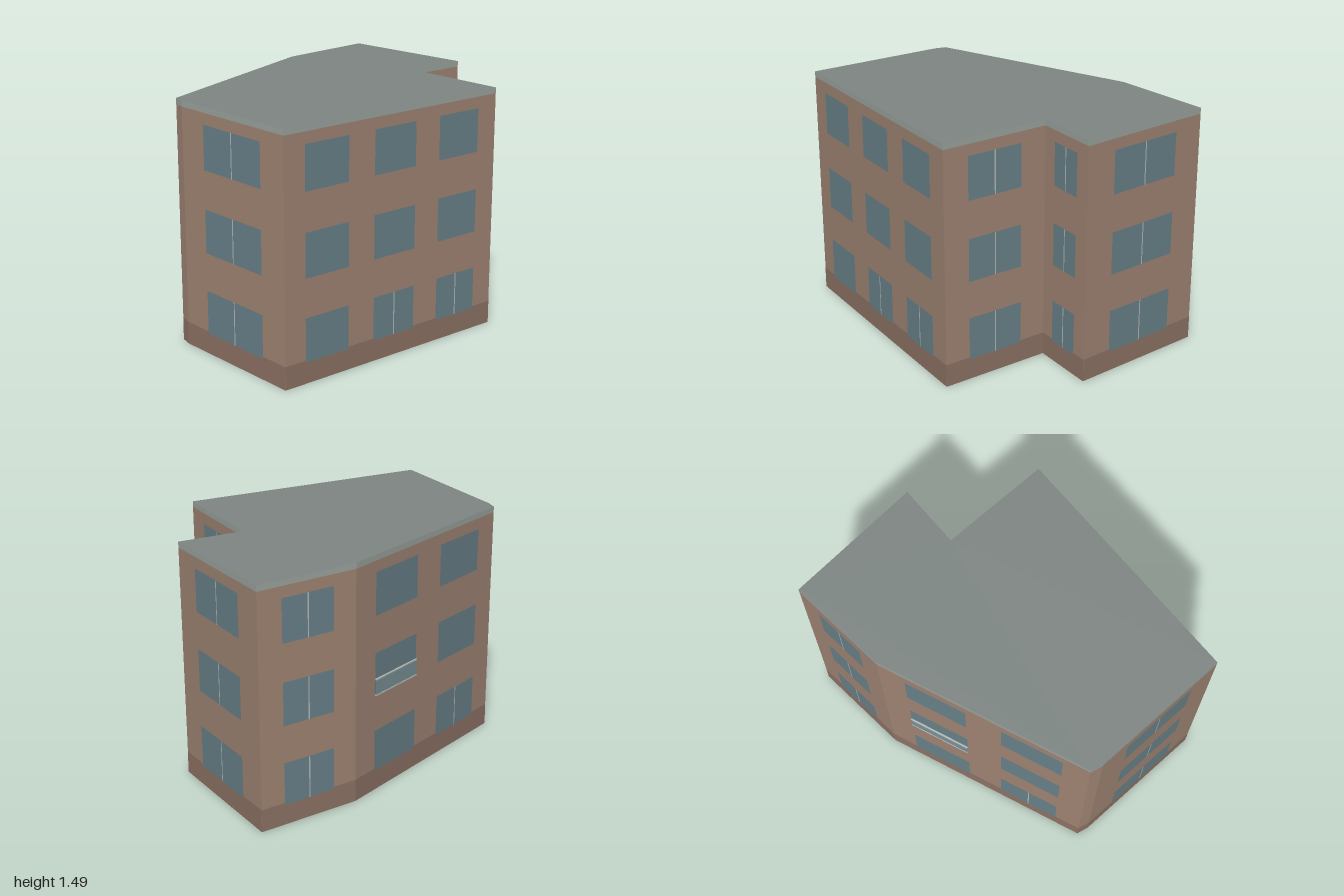
import * as THREE from 'three';

const HEIGHT = 1.485, BAND = 0.035, PLINTH = 0.14;
const SILLS = [0.128, 0.623, 1.118], WINDOW_H = 0.264;

// Footprint corners [x, z], running round the building with the outside on the right
const CORNERS = [
  [-0.885, 0.85], [0.687, 0.725], [0.594, 0.037], [1, 0],
  [0.833, -0.855], [0.205, -0.73], [-0.993, -0.106], [-1, -0.03],
];

// Windows per wall: start and end as a fraction of the wall, floors with a mullion
const ALL = [0, 1, 2];
const WINDOWS = [
  [[0.089, 0.284, []], [0.403, 0.598, [0]], [0.714, 0.909, [0]]],
  [[0.232, 0.756, ALL]],
  [[0.237, 0.763, ALL]],
  [[0.226, 0.774, ALL]],
  [[0.24, 0.765, ALL]],
  [[0.13, 0.42, []], [0.588, 0.878, [0]]],
  [],
  [[0.225, 0.785, ALL]],
];

const material = (color, side = THREE.FrontSide) =>
  new THREE.MeshStandardMaterial({ color, side, flatShading: true });

export function createModel() {
  const model = new THREE.Group();
  model.name = 'building';

  const brick = material(0xa08574, THREE.DoubleSide);
  const base = material(0x8e7365);
  const trim = material(0x9ca49f, THREE.DoubleSide);
  const roofGrey = material(0x7e8683, THREE.DoubleSide);
  const glass = material(0x69828a);
  const frame = material(0xb4bab7);
  const railGlass = material(0x7b9298, THREE.DoubleSide);

  // Upright rectangle on a wall: x0..x1 along it, y0..y1 up, at a small depth outward
  function panel(parent, name, mat, x0, x1, y0, y1, depth) {
    const mesh = new THREE.Mesh(new THREE.PlaneGeometry(x1 - x0, y1 - y0), mat);
    mesh.position.set((x0 + x1) / 2, (y0 + y1) / 2, depth);
    mesh.name = name;
    parent.add(mesh);
  }

  CORNERS.forEach(([x, z], i) => {
    const [nx, nz] = CORNERS[(i + 1) % CORNERS.length];
    const length = Math.hypot(nx - x, nz - z);
    const side = new THREE.Group();
    side.name = `side${i + 1}`;
    side.position.set(x, 0, z);
    side.rotation.y = Math.atan2(z - nz, nx - x);
    model.add(side);

    // Wall, plinth and roof edge
    panel(side, 'wall', brick, 0, length, 0, HEIGHT - BAND, 0);
    panel(side, 'plinth', base, 0, length, 0, PLINTH, 0.001);
    panel(side, 'roofEdge', trim, 0, length, HEIGHT - BAND, HEIGHT, 0);

    // Windows on each floor
    for (const [t0, t1, mullions] of WINDOWS[i]) {
      const x0 = t0 * length, x1 = t1 * length, mid = (x0 + x1) / 2;
      SILLS.forEach((sill, floor) => {
        panel(side, 'window', glass, x0, x1, sill, sill + WINDOW_H, 0.003);
        if (mullions.includes(floor))
          panel(side, 'mullion', frame, mid - 0.004, mid + 0.004, sill, sill + WINDOW_H, 0.004);
      });
    }

    // Shallow glass balcony rail on the long back wall
    if (i === 5) {
      const x0 = 0.13 * length, x1 = 0.42 * length;
      const y0 = SILLS[1], y1 = y0 + 0.1;
      panel(side, 'balconyGlass', railGlass, x0, x1, y0, y1, 0.01);
      for (const y of [y0, y1]) {
        const rail = new THREE.Mesh(new THREE.BoxGeometry(x1 - x0, 0.008, 0.01), frame);
        rail.position.set((x0 + x1) / 2, y, 0.008);
        rail.name = 'balconyRail';
        side.add(rail);
      }
    }
  });

  // Flat roof over the footprint
  const outline = new THREE.Shape(CORNERS.map(([x, z]) => new THREE.Vector2(x, -z)));
  const roof = new THREE.Mesh(new THREE.ShapeGeometry(outline).rotateX(-Math.PI / 2), roofGrey);
  roof.position.y = HEIGHT;
  roof.name = 'roof';
  model.add(roof);

  return model;
}
